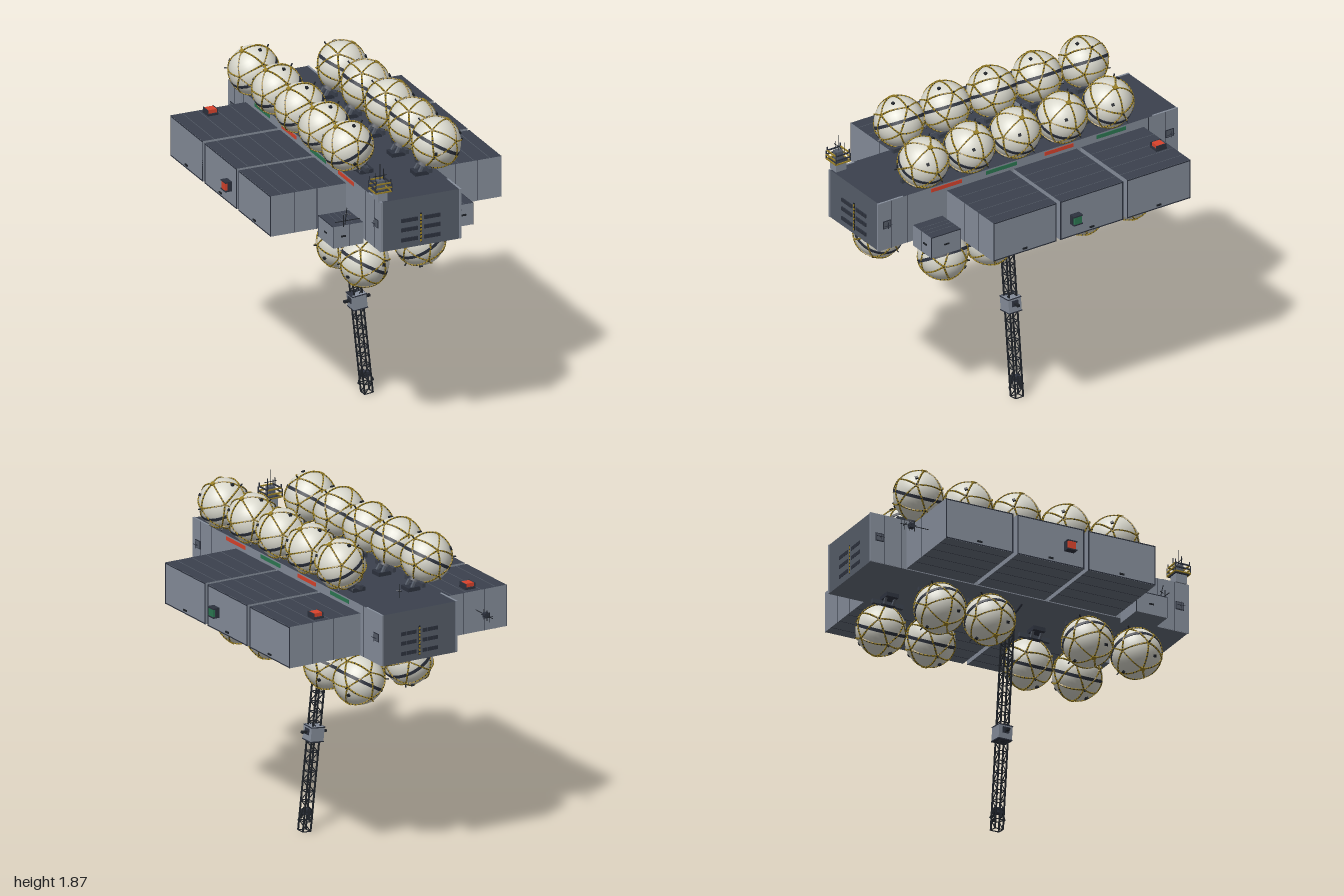
import * as THREE from 'three';
import { mergeGeometries } from 'three/addons/utils/BufferGeometryUtils.js';

const mat = (name, color) => {
  const m = new THREE.MeshStandardMaterial({ color });
  m.name = name;
  return m;
};
const V = (x, y, z) => new THREE.Vector3(x, y, z);
const UP = V(0, 1, 0);

export function createModel() {
  const hull = mat('hull grey', 0x858d9a), deck = mat('deck slate', 0x3b414d), endGrey = mat('bulkhead grey', 0x565d69);
  const floor = mat('floor grey', 0x666d7a), cream = mat('tank cream', 0xd8d7cc);
  const belt = mat('belt navy', 0x2d323e), black = mat('truss black', 0x1f2329);
  const gold = mat('hazard gold', 0x9a8026), red = mat('signal red', 0xd8432c), green = mat('signal green', 0x2c7852);

  const model = new THREE.Group();
  model.name = 'station';
  const add = (name, geo, material, parent = model) => {
    const m = new THREE.Mesh(geo, material);
    m.name = name;
    parent.add(m);
    return m;
  };
  // box given by its limits
  const boxGeo = (x0, x1, y0, y1, z0, z1) =>
    new THREE.BoxGeometry(Math.abs(x1 - x0), Math.abs(y1 - y0), Math.abs(z1 - z0)).translate((x0 + x1) / 2, (y0 + y1) / 2, (z0 + z1) / 2);
  const box = (name, l, material, parent) => add(name, boxGeo(...l), material, parent);
  // square or round bar between two points
  const bar = (a, b, w, round = false) => {
    const d = b.clone().sub(a), len = d.length();
    const g = round ? new THREE.CylinderGeometry(w, w, len, 10) : new THREE.BoxGeometry(w, len, w);
    return g.applyQuaternion(new THREE.Quaternion().setFromUnitVectors(UP, d.normalize()))
      .translate((a.x + b.x) / 2, (a.y + b.y) / 2, (a.z + b.z) / 2);
  };
  const bars = (list, w) => mergeGeometries(list.map(([a, b]) => bar(a, b, w)));

  // central hull with vents and a dashed centre line on both ends
  const podMats = [hull, hull, deck, floor, hull, hull];
  box('coreHull', [-0.243, 0.243, 1.265, 1.56, -0.995, 0.99], [hull, hull, deck, floor, endGrey, endGrey]);
  for (const e of [1, -1]) {
    const z = e * 0.993;
    for (const y of [1.43, 1.375, 1.315]) for (const s of [-1, 1])
      for (let i = 0; i < 3; i++) box('ventSlat', [s * (0.02 + i * 0.034), s * (0.051 + i * 0.034), y - 0.011, y + 0.011, z - 0.004, z + 0.004], belt);
    box('centreStrip', [-0.005, 0.005, 1.29, 1.46, z - 0.003, z + 0.003], black);
    for (let i = 0; i < 8; i++) box('centreDash', [-0.005, 0.005, 1.292 + i * 0.021, 1.306 + i * 0.021, z - 0.004, z + 0.004], gold);
  }

  for (const s of [-1, 1]) {
    // cargo modules with seams on roof and floor
    for (const [z0, z1] of [[-0.77, -0.35], [-0.323, 0.095], [0.12, 0.54]]) {
      box('cargoModule', [s * 0.243, s * 0.7, 1.27, 1.51, z0, z1], podMats);
      for (const x of [0.345, 0.44, 0.535, 0.63]) {
        box('roofSeam', [s * x - 0.0015, s * x + 0.0015, 1.509, 1.511, z0, z1], endGrey);
        box('floorSeam', [s * x - 0.0015, s * x + 0.0015, 1.269, 1.271, z0, z1], belt);
      }
      for (const y of [1.274, 1.506]) box('moduleEdge', [s * 0.699, s * 0.702, y - 0.003, y + 0.003, z0, z1], belt);
      for (const z of [z0 + 0.003, z1 - 0.003]) box('moduleEdge', [s * 0.699, s * 0.702, 1.27, 1.51, z - 0.003, z + 0.003], belt);
      box('moduleLatch', [s * 0.699, s * 0.706, 1.287, 1.297, (z0 + z1) / 2 - 0.015, (z0 + z1) / 2 + 0.015], black);
    }
    for (const x of [0.42, 0.555]) for (const z of [-0.77, 0.54])
      box('endSeam', [s * x - 0.0015, s * x + 0.0015, 1.27, 1.51, z - 0.001, z + 0.001], belt);

    // small forward locker
    box('locker', [s * 0.243, s * 0.425, 1.235, 1.362, 0.57, 0.765], podMats);
    for (const x of [0.3, 0.335, 0.37]) box('lockerSeam', [s * x - 0.001, s * x + 0.001, 1.361, 1.363, 0.57, 0.765], endGrey);
    box('lockerSeam', [s * 0.33 - 0.001, s * 0.33 + 0.001, 1.235, 1.362, 0.764, 0.766], belt);
    for (const z of [0.571, 0.764]) box('lockerEdge', [s * 0.424, s * 0.426, 1.235, 1.362, z - 0.002, z + 0.002], belt);
    box('lockerEdge', [s * 0.424, s * 0.426, 1.358, 1.363, 0.57, 0.765], belt);
    box('lockerLatch', [s * 0.35, s * 0.38, 1.295, 1.305, 0.764, 0.77], black);
    box('lockerLatch', [s * 0.424, s * 0.43, 1.293, 1.301, 0.65, 0.68], black);

    // coloured edge stripes
    [[0.44, 0.645], [0.075, 0.28], [-0.3, -0.11], [-0.65, -0.455]].forEach(([a, b], i) =>
      box('edgeStripe', [s * 0.24, s * 0.246, 1.53, 1.552, a, b], i % 2 ? green : red));

    // side collars, hatches, seams and grab rails at both hull ends
    for (const e of [-1, 1]) {
      box('endCollar', [s * 0.233, s * 0.2445, 1.268, 1.562, e * 0.83, e * 0.997], hull);
      box('hatch', [s * 0.24, s * 0.248, 1.397, 1.445, e * 0.94 - 0.026, e * 0.94 + 0.026], belt);
      box('hatchDoor', [s * 0.24, s * 0.25, 1.402, 1.44, e * 0.94 - 0.021, e * 0.94 + 0.021], endGrey);
      for (const z of [0.8, 0.91]) box('hullSeam', [s * 0.24, s * 0.2455, 1.265, 1.56, e * z - 0.0015, e * z + 0.0015], belt);
      add('grabRail', bars([
        [V(s * 0.262, 1.42, e * 0.94 - 0.025), V(s * 0.262, 1.42, e * 0.94 + 0.025)],
        [V(s * 0.262, 1.4, e * 0.94), V(s * 0.262, 1.44, e * 0.94)],
        [V(s * 0.24, 1.42, e * 0.94), V(s * 0.262, 1.42, e * 0.94)]], 0.0025), belt);
    }

    // hooded navigation light on the side and shrouded beacon on the roof
    const signal = s > 0 ? green : red, bx = s * 0.49, bz = -0.7;
    box('navLightBox', [s * 0.7, s * 0.724, 1.352, 1.41, -0.03, 0.03], belt);
    box('navLight', [s * 0.72, s * 0.738, 1.359, 1.403, -0.023, 0.023], signal);
    for (const y of [1.352, 1.403]) box('navLightHood', [s * 0.72, s * 0.74, y, y + 0.007, -0.03, 0.03], belt);
    box('beaconBase', [bx - 0.032, bx + 0.032, 1.51, 1.522, bz - 0.034, bz + 0.034], belt);
    box('beaconLamp', [bx - 0.026, bx + 0.026, 1.522, 1.543, bz - 0.026, bz + 0.026], red);
    for (const a of [-1, 1]) box('beaconShroud', [bx + a * 0.027, bx + a * 0.031, 1.51, 1.544, bz - 0.034, bz + 0.034], belt);
  }

  // tank parts: a sphere with an icosahedral strap cage, poles on its local y axis
  const R = 0.14, nodes = [V(0, 1, 0), V(0, -1, 0)];
  for (let i = 0; i < 10; i++) {
    const a = i * Math.PI / 5, q = 2 / Math.sqrt(5);
    nodes.push(V(q * Math.cos(a), (i % 2 ? -1 : 1) / Math.sqrt(5), q * Math.sin(a)));
  }
  const strapBits = [], blackBits = [];
  const stud = (p, r0, r1, w, round) => bar(p.clone().setLength(R + r0), p.clone().setLength(R + r1), w, round);
  nodes.forEach((a, i) => {
    strapBits.push(stud(a, -0.003, 0.006, 0.016));
    blackBits.push(stud(a, -0.003, 0.008, 0.004, true));
    if (i % 3 === 2) blackBits.push(stud(a, 0, 0.024, 0.006));
    for (const b of nodes.slice(i + 1)) {
      if (a.distanceTo(b) > 1.2) continue;
      const at = t => a.clone().lerp(b, t).setLength(R + 0.002);
      for (let k = 0; k < 8; k++) {
        strapBits.push(bar(at(k / 8), at(k / 8 + 0.1), 0.0075));
        blackBits.push(bar(at(k / 8 + 0.1), at(k / 8 + 0.125), 0.0065));
      }
    }
  });
  // small equipment boxes between the straps
  for (const p of [V(0.55, 0.75, 0.35), V(-0.5, 0.7, -0.5), V(-0.3, -0.3, 0.9)]) blackBits.push(stud(p, -0.005, 0.009, 0.016));
  const shellGeo = new THREE.SphereGeometry(R, 32, 20);
  const cageGeo = mergeGeometries(strapBits);
  const fitGeo = mergeGeometries(blackBits);
  const capGeo = new THREE.BoxGeometry(0.022, 0.012, 0.028).translate(0, R + 0.003, 0);
  const beltGeo = new THREE.CylinderGeometry(R + 0.003, R + 0.003, 0.018, 40);
  const collarGeo = new THREE.CylinderGeometry(0.045, 0.05, 0.02, 12).translate(0, -0.138, 0);
  const strutGeo = mergeGeometries([-1, 1].flatMap(a => [-1, 1].map(b =>
    bar(V(a * 0.022, -0.215, b * 0.03), V(a * 0.022, -0.135, b * 0.025), 0.014))));
  const footGeo = new THREE.BoxGeometry(0.08, 0.025, 0.075);
  const railGeo = new THREE.BoxGeometry(0.02, 0.025, 0.19);

  const tank = (x, y, z) => {
    const g = new THREE.Group();
    g.name = 'tank';
    const top = y > 1.4 ? 1 : -1, side = Math.sign(x);
    g.position.set(x, y, z);
    g.quaternion.setFromUnitVectors(UP, V(side * 0.5, top * 0.866, 0).normalize());
    add('tankShell', shellGeo, cream, g);
    add('tankCage', cageGeo, gold, g);
    add('tankFittings', fitGeo, black, g);
    add('tankCap', capGeo, gold, g);
    add('tankBelt', beltGeo, belt, g);
    add('tankCollar', collarGeo, belt, g);
    add('tankStruts', strutGeo, endGrey, g);
    model.add(g);
    add('mountFoot', footGeo, belt).position.set(x - side * 0.1, top > 0 ? 1.57 : 1.254, z);
    add('mountRail', railGeo, deck).position.set(x - side * 0.075, top > 0 ? 1.605 : 1.222, z);
  };
  for (const z of [-0.69, -0.38, -0.08, 0.23, 0.535]) tank(-0.232, 1.73, z);
  for (const z of [-0.54, -0.23, 0.08, 0.385, 0.69]) tank(0.232, 1.73, z);
  for (const z of [-0.54, -0.23, 0.385, 0.69]) tank(-0.203, 1.095, z);
  for (const z of [-0.69, -0.38, 0.23, 0.54]) tank(0.203, 1.095, z);

  // cross pipes and central mast
  for (const [y, h] of [[1.565, 0.03], [1.262, -0.025]]) {
    const curve = new THREE.CatmullRomCurve3([V(-0.16, y, 0), V(-0.09, y + h * 0.8, 0), V(0, y + h, 0), V(0.09, y + h * 0.8, 0), V(0.16, y, 0)]);
    add('crossPipe', new THREE.TubeGeometry(curve, 16, 0.007, 6), belt);
  }
  box('mastBase', [-0.02, 0.02, 1.56, 1.6, -0.02, 0.02], endGrey);
  box('mastPlate', [-0.022, 0.022, 1.6, 1.604, -0.022, 0.022], gold);
  add('mast', bar(V(0, 1.6, 0), V(0, 1.66, 0), 0.004, true), black);
  add('mastCollar', bar(V(0, 1.604, 0), V(0, 1.62, 0), 0.008, true), endGrey);
  add('sternAerial', bars([[V(0, 1.56, -0.78), V(0, 1.64, -0.78)], [V(-0.012, 1.6, -0.792), V(0.012, 1.6, -0.768)], [V(-0.012, 1.6, -0.768), V(0.012, 1.6, -0.792)]], 0.0025), black);

  // lookout tower with railings, gold round the deck and across the front
  const tx = -0.225, tz = 0.945;
  box('towerBase', [tx - 0.03, tx + 0.03, 1.56, 1.612, tz - 0.035, tz + 0.035], hull);
  box('towerColumn', [tx - 0.02, tx + 0.02, 1.615, 1.675, tz - 0.02, tz + 0.02], endGrey);
  box('towerDeck', [tx - 0.043, tx + 0.043, 1.611, 1.618, tz - 0.043, tz + 0.043], belt);
  for (const [y, w] of [[1.618, 0.048], [1.643, 0.048], [1.668, 0.044]]) {
    const c = [[-w, -w], [w, -w], [w, w], [-w, w]].map(([x, z]) => V(tx + x, y, tz + z));
    c.forEach((p, i) => add('towerRail', bar(p, c[(i + 1) % 4], 0.007), y < 1.62 || i % 2 === 0 ? gold : belt));
    add('railPosts', bars(c.map(p => [p, p.clone().setY(y + 0.022)]), 0.005), belt);
  }
  add('towerAerials', bars([[V(tx, 1.67, tz), V(tx, 1.77, tz)], [V(tx - 0.03, 1.67, tz), V(tx - 0.03, 1.72, tz)],
    [V(tx + 0.03, 1.67, tz - 0.02), V(tx + 0.03, 1.73, tz - 0.02)], [V(tx - 0.04, 1.7, tz), V(tx + 0.04, 1.7, tz)]], 0.003), black);

  // stern aerial on the module and bow aerial on the locker
  const boom = [[V(-0.5, 1.4, -0.77), V(-0.5, 1.4, -0.95)]];
  for (const z of [-0.86, -0.89, -0.92]) boom.push([V(-0.52, 1.4, z), V(-0.48, 1.4, z)], [V(-0.5, 1.37, z), V(-0.5, 1.43, z)]);
  add('boomAerial', bars(boom, 0.003), black);
  box('boomHead', [-0.514, -0.486, 1.386, 1.414, -0.893, -0.865], belt);
  add('lockerAerial', bars([[V(-0.35, 1.36, 0.755), V(-0.35, 1.47, 0.78)], [V(-0.42, 1.395, 0.78), V(-0.27, 1.395, 0.78)],
    [V(-0.37, 1.36, 0.78), V(-0.37, 1.43, 0.78)], [V(-0.35, 1.43, 0.76), V(-0.33, 1.43, 0.79)]], 0.0035), black);

  // slanted lattice boom hanging below
  const truss = new THREE.Group();
  truss.name = 'latticeBoom';
  truss.position.set(0, 1.25, 0);
  truss.rotation.z = Math.atan(0.108);
  model.add(truss);
  const w = 0.025, L = 1.25, bays = 22, chords = [], lace = [];
  const ring = y => [[-w, -w], [w, -w], [w, w], [-w, w]].map(([x, z]) => V(x, y, z));
  ring(0.03).forEach((p, i) => chords.push([p, ring(-L)[i]]));
  for (let b = 0; b <= bays; b++) {
    const p = ring(-b * L / bays), n = ring(-(b + 1) * L / bays);
    for (let i = 0; i < 4; i++) {
      lace.push([p[i], p[(i + 1) % 4]]);
      if (b < bays && i % 2 === 0) lace.push(b % 2 === i / 2 ? [p[i], n[(i + 1) % 4]] : [p[(i + 1) % 4], n[i]]);
    }
  }
  add('boomChords', bars(chords, 0.008), black, truss);
  add('boomLacing', bars(lace, 0.0045), black, truss);
  // instrument box part-way down and feet near the tip
  box('instrumentBox', [-0.042, 0.042, -0.73, -0.645, -0.042, 0.042], hull, truss);
  for (const y of [-0.73, -0.648]) box('instrumentBand', [-0.044, 0.044, y - 0.003, y + 0.003, -0.044, 0.044], belt, truss);
  for (const s of [-1, 1]) {
    box('instrumentPanel', [s * 0.04, s * 0.047, -0.695, -0.66, -0.02, 0.02], belt, truss);
    box('instrumentArm', [s * 0.042, s * 0.08, -0.688, -0.674, -0.008, 0.008], black, truss);
  }
  const feet = [];
  for (const [x, z] of [[1, 0], [-1, 0], [0, 1], [0, -1]]) feet.push([V(x * 0.02, -1.12, z * 0.02), V(x * 0.045, -1.19, z * 0.045)]);
  add('tipFeet', bars(feet, 0.009), black, truss);
  box('tipBlock', [-0.02, 0.02, -1.155, -1.125, -0.02, 0.02], belt, truss);

  return model;
}
